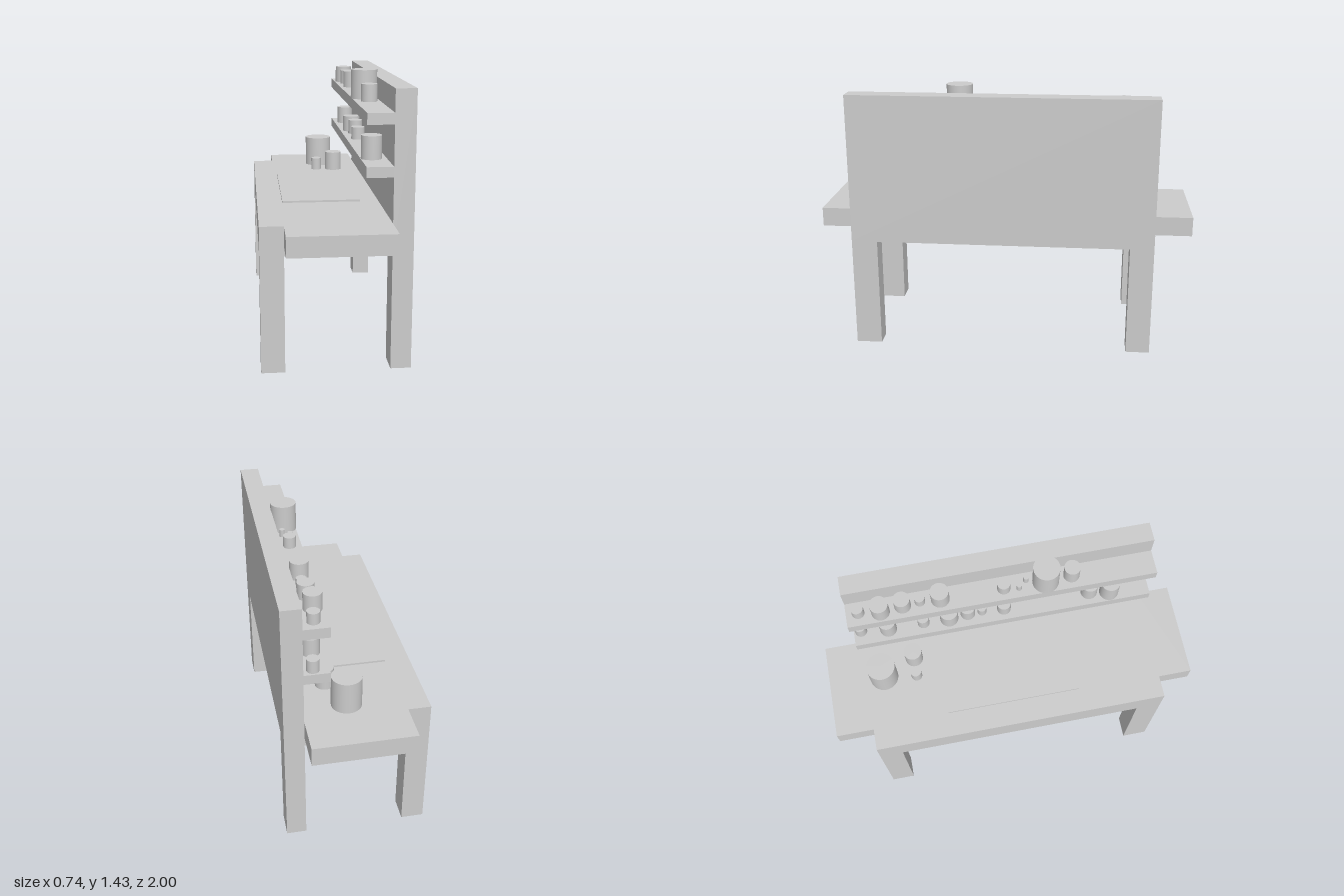
import * as THREE from 'three';

const material = new THREE.MeshStandardMaterial({ color: 0xcccccc });

// Box given by its minimum and maximum corner
function box(name, x0, x1, y0, y1, z0, z1) {
  const mesh = new THREE.Mesh(new THREE.BoxGeometry(x1 - x0, y1 - y0, z1 - z0), material);
  mesh.position.set((x0 + x1) / 2, (y0 + y1) / 2, (z0 + z1) / 2);
  mesh.name = name;
  return mesh;
}

// Round jars standing at height y; each item is [x, z, radius, top height]
function jars(name, y, items) {
  const group = new THREE.Group();
  group.name = name;
  for (const [x, z, r, top] of items) {
    const mesh = new THREE.Mesh(new THREE.CylinderGeometry(r, r, top - y, 32), material);
    mesh.position.set(x, (y + top) / 2, z);
    mesh.name = 'jar';
    group.add(mesh);
  }
  return group;
}

export function createModel() {
  const model = new THREE.Group();
  model.name = 'workbench';

  const xFront = -0.373, xPanel = 0.267, xBack = 0.37;
  const zMin = -0.797, zMax = 0.818;
  const under = 0.595, top = 0.745;

  // Bench body, back panel and end leaves
  model.add(box('benchTop', xFront, xPanel, under, top, zMin, zMax));
  model.add(box('backPanel', xPanel, xBack, under, 1.39, zMin, zMax));
  model.add(box('endLeaf', -0.255, xPanel, 0.643, top, zMax, 1));
  model.add(box('endLeaf', -0.255, xPanel, 0.643, top, -1, zMin));

  // Four legs
  for (const [z0, z1] of [[zMin, -0.67], [0.68, zMax]]) {
    model.add(box('frontLeg', xFront, -0.255, 0, under, z0, z1));
    model.add(box('backLeg', xPanel, xBack, 0, under, z0, z1));
  }

  // Shelves and work mat
  model.add(box('lowerShelf', 0.136, xPanel, 0.97, 1.022, zMin, zMax));
  model.add(box('upperShelf', 0.136, xPanel, 1.222, 1.277, zMin, zMax));
  model.add(box('workMat', -0.241, 0.168, top, 0.755, -0.378, 0.36));

  // Jars on the bench and the shelves
  model.add(jars('benchJars', top, [
    [0.037, -0.695, 0.078, 0.918],
    [0.01, -0.515, 0.03, 0.815],
    [0.115, -0.513, 0.049, 0.853],
  ]));
  model.add(jars('lowerShelfJars', 1.022, [
    [0.215, -0.757, 0.032, 1.09],
    [0.2, -0.611, 0.045, 1.12],
    [0.2, -0.42, 0.032, 1.09],
    [0.2, -0.28, 0.049, 1.11],
    [0.21, -0.177, 0.04, 1.1],
    [0.205, -0.1, 0.024, 1.075],
    [0.2, 0.02, 0.037, 1.09],
    [0.21, 0.493, 0.045, 1.117],
    [0.19, 0.6, 0.052, 1.14],
  ]));
  model.add(jars('upperShelfJars', 1.277, [
    [0.206, -0.733, 0.032, 1.336],
    [0.19, -0.62, 0.047, 1.37],
    [0.203, -0.505, 0.043, 1.357],
    [0.209, -0.415, 0.027, 1.328],
    [0.203, -0.31, 0.048, 1.369],
    [0.2, 0.02, 0.034, 1.338],
    [0.185, 0.098, 0.014, 1.318],
    [0.222, 0.14, 0.014, 1.318],
    [0.2, 0.24, 0.069, 1.428],
    [0.208, 0.378, 0.042, 1.367],
  ]));

  return model;
}
